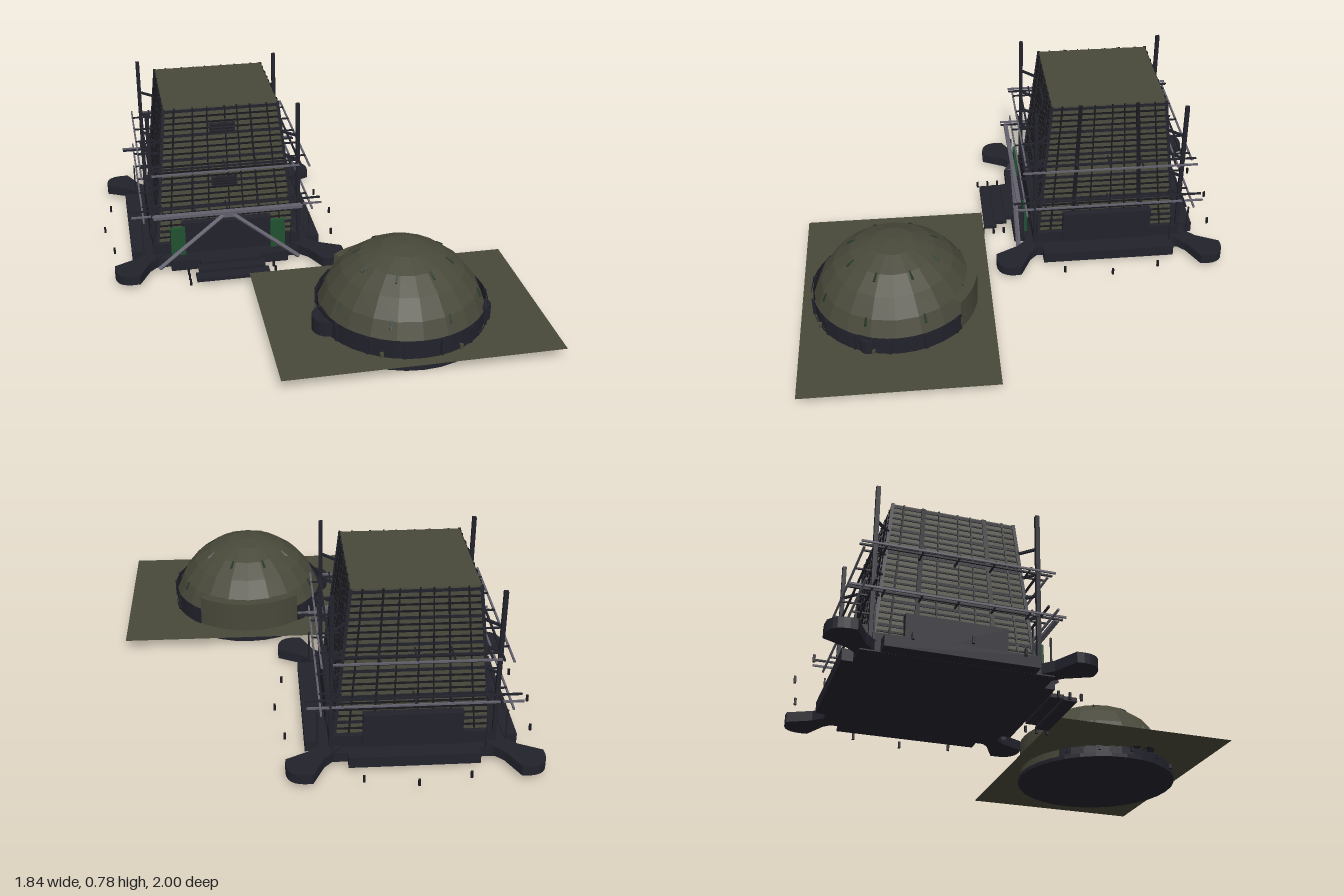
import * as THREE from 'three';

const mat = (name, color) => {
  const m = new THREE.MeshStandardMaterial({ color, side: THREE.DoubleSide, flatShading: true });
  m.name = name;
  return m;
};

export function createModel() {
  const olive = mat('olive', 0x48483a);
  const navy = mat('dark slate', 0x22222c);
  const black = mat('near black', 0x18181e);
  const green = mat('green', 0x1f5030);
  const grey = mat('grey metal', 0x62606c);
  const moss = mat('dark moss', 0x26382a);

  const root = new THREE.Group();
  root.name = 'campBuildings';

  const add = (parent, name, geo, m, x = 0, y = 0, z = 0) => {
    const mesh = new THREE.Mesh(geo, m);
    mesh.name = name;
    mesh.position.set(x, y, z);
    parent.add(mesh);
    return mesh;
  };
  const box = (p, name, m, w, h, d, x, y, z) => add(p, name, new THREE.BoxGeometry(w, h, d), m, x, y, z);
  // straight bar from a to b
  const bar = (p, name, m, a, b, w, d = w) => {
    const A = new THREE.Vector3(...a), B = new THREE.Vector3(...b);
    const mesh = add(p, name, new THREE.BoxGeometry(w, d, A.distanceTo(B)), m);
    mesh.position.copy(A).add(B).multiplyScalar(0.5);
    mesh.quaternion.setFromUnitVectors(new THREE.Vector3(0, 0, 1), B.sub(A).normalize());
    return mesh;
  };

  // ---- Tower ----
  const tower = new THREE.Group();
  tower.name = 'tower';
  tower.position.set(-0.35, 0, -0.43);
  root.add(tower);
  const y0 = 0.03, y1 = 0.765;
  const half = y => 0.335 - 0.073 * (y - y0) / (y1 - y0);
  const core = new THREE.CylinderGeometry(half(y1) * Math.SQRT2, half(y0) * Math.SQRT2, y1 - y0, 4);
  core.rotateY(Math.PI / 4);
  add(tower, 'towerWalls', core, olive, 0, (y0 + y1) / 2, 0);

  // horizontal siding lines wrap the whole tower
  for (let i = 0; i < 25; i++) {
    const y = 0.055 + i * 0.029, w = 2 * half(y) + 0.008;
    box(tower, 'sidingLine', i % 4 ? black : navy, w, i % 4 ? 0.008 : 0.013, w, 0, y, 0);
  }

  // platform under the tower
  box(tower, 'platform', navy, 0.78, 0.045, 0.78, 0, 0.042, 0);
  box(tower, 'platformStep', navy, 0.7, 0.06, 0.7, 0, 0.09, 0);

  // flared corner foot
  const foot = new THREE.Shape();
  foot.moveTo(0.45, -0.04);
  foot.lineTo(0.57, -0.04);
  foot.lineTo(0.68, -0.077);
  foot.quadraticCurveTo(0.78, 0, 0.68, 0.077);
  foot.lineTo(0.57, 0.04);
  foot.lineTo(0.45, 0.04);
  const footGeo = new THREE.ExtrudeGeometry(foot, { depth: 0.045, bevelEnabled: false, curveSegments: 8 });
  footGeo.rotateX(-Math.PI / 2);

  for (let k = 0; k < 4; k++) {
    const s = new THREE.Group();
    s.name = ['frontSide', 'leftSide', 'backSide', 'rightSide'][k];
    s.rotation.y = k * Math.PI / 2;
    tower.add(s);
    const isX = k % 2 === 1;

    // upright seams converge toward the roof
    for (const [u, w] of [[-0.5, 0.018], [0.5, 0.018], [-0.82, 0.007], [-0.25, 0.006], [0.06, 0.006], [0.27, 0.006], [0.8, 0.007]])
      bar(s, 'seam', black, [u * half(y0), y0, half(y0)], [u * half(y1), y1, half(y1)], isX ? w : Math.min(w, 0.008), 0.012);
    bar(s, 'cornerTrim', navy, [half(y0), y0, half(y0)], [half(y1), y1, half(y1)], 0.014);

    // lower wall block and platform edge
    box(s, 'lowerBlock', navy, 0.42, 0.19, 0.1, 0, 0.125, 0.305);
    box(s, 'platformEdge', navy, isX ? 0.62 : 0.55, 0.05, 0.06, 0, 0.045, isX ? 0.42 : 0.405);

    // corner pole, brackets and foot
    box(s, 'cornerPole', navy, 0.018, 0.75, 0.018, 0.342, 0.405, 0.342);
    for (const y of [0.3, 0.4, 0.5, 0.62])
      bar(s, 'poleBracket', navy, [half(y), y, half(y)], [0.342, y, 0.342], 0.01);
    add(s, 'cornerFoot', footGeo, navy, 0, 0.025, 0).rotation.y = Math.PI / 4;

    // walkway rails at two levels
    for (const [y, z, len] of [[0.3, 0.35, 0.445], [0.5, 0.345, isX ? 0.405 : 0.345]]) {
      for (const dz of [0, 0.04])
        bar(s, 'rail', dz ? grey : navy, [-len, y - dz * 0.2, z + dz], [len, y - dz * 0.2, z + dz], 0.008);
      for (const x of [-0.3, -0.15, 0, 0.15, 0.3])
        bar(s, 'railStay', navy, [x, y, half(y)], [x, y, z + 0.04], 0.007);
    }

    // thin posts on the platform and ground stakes
    for (const x of [-0.34, 0.3])
      box(s, 'thinPost', navy, 0.007, 0.15, 0.007, x, 0.14, 0.395);
    if (k) for (const [x, z] of [[-0.22, 0.53], [0, 0.567], [0.22, 0.53]])
      box(s, 'groundStake', black, 0.01, 0.03, 0.01, x, 0.037, z);
  }

  // front vents
  for (const [y, h] of [[0.66, 0.055], [0.405, 0.045]]) {
    const v = box(tower, 'vent', navy, 0.12, h, 0.009, 0, y, half(y) + 0.008);
    v.rotation.x = -0.1;
    for (let i = -1; i < 2; i++)
      box(v, 'ventSlat', black, 0.11, 0.006, 0.006, 0, i * h * 0.28, 0.006);
  }

  // entrance: green panels, crossing braces, beam and steps
  for (const sx of [-1, 1]) {
    box(tower, 'greenPanel', green, 0.068, 0.14, 0.018, sx * 0.235, 0.147, 0.382);
    bar(tower, 'entranceBrace', grey, [sx * 0.33, 0.03, 0.42], [sx * 0.02, 0.285, 0.42], 0.016);
    for (const z of [0.48, 0.53, 0.58])
      box(tower, 'stepStake', black, 0.01, 0.03, 0.01, sx * 0.2, 0.037, z);
  }
  bar(tower, 'entranceBraceCap', grey, [-0.025, 0.282, 0.42], [0.025, 0.282, 0.42], 0.016);
  bar(tower, 'entranceBeam', grey, [-0.35, 0.297, 0.42], [0.35, 0.297, 0.42], 0.02, 0.014);
  for (let i = 0; i < 3; i++)
    box(tower, 'step', navy, 0.28 + i * 0.03, 0.018, 0.06, 0, 0.064 - i * 0.013, 0.44 + i * 0.052);

  // ---- Domed shelter ----
  const dome = new THREE.Group();
  dome.name = 'domedShelter';
  dome.position.set(0.32, 0, 0.58);
  root.add(dome);
  const R = 0.377, cy = 0.008;
  add(dome, 'domeRoof', new THREE.SphereGeometry(R, 20, 5, 0, Math.PI * 2, 0, 1.3), olive, 0, cy, 0);
  add(dome, 'baseDisc', new THREE.CylinderGeometry(0.378, 0.378, 0.018, 32), navy, 0, 0.009, 0);
  const ground = new THREE.PlaneGeometry(1.2, 0.85);
  ground.rotateX(-Math.PI / 2);
  add(dome, 'groundSheet', ground, olive, 0, 0.055, -0.005);

  // dark wall ring, open at the back where an olive wall stands
  const gap = 0.7;
  const arc = (r, h, from, len, m, name, y) =>
    add(dome, name, new THREE.CylinderGeometry(r, r, h, 30, 1, true, from, len), m, 0, y, 0);
  arc(0.366, 0.12, Math.PI + gap, 2 * (Math.PI - gap), navy, 'wallRing', 0.075);
  for (const y of [0.06, 0.128])
    arc(0.373, 0.014, Math.PI + gap, 2 * (Math.PI - gap), navy, 'ringBand', y);
  add(dome, 'backWall', new THREE.CylinderGeometry(0.368, 0.368, 0.18, 12, 1, true, Math.PI - gap, 2 * gap), olive, 0, 0.11, 0);
  add(dome, 'backWallRoof', new THREE.RingGeometry(0.29, 0.368, 12, 1, Math.PI / 2 - gap, 2 * gap).rotateX(-Math.PI / 2), olive, 0, 0.2, 0);

  // ring brackets
  for (let i = 0; i < 12; i++) {
    const a = Math.PI + gap + 0.1 + i * (2 * (Math.PI - gap) - 0.2) / 11;
    const b = box(dome, 'ringBracket', navy, 0.012, 0.1, 0.012, Math.sin(a) * 0.371, 0.085, Math.cos(a) * 0.371);
    b.rotation.y = a;
  }

  // rounded side bumps and small lamps
  add(dome, 'sideBump', new THREE.CylinderGeometry(0.07, 0.07, 0.07, 16), navy, -0.34, 0.09, 0.08);
  add(dome, 'sideBump', new THREE.CylinderGeometry(0.04, 0.04, 0.07, 16), navy, 0.325, 0.09, 0.12);
  for (const a of [-0.47, 0.47, -1.3, 1.3])
    box(dome, 'lamp', olive, 0.014, 0.022, 0.014, Math.sin(a) * 0.374, 0.065, Math.cos(a) * 0.374);

  // dark slits along eight meridians
  for (let i = 0; i < 8; i++) {
    const a = (i + 0.5) * Math.PI / 4;
    for (const t of [0.56, 1.08]) {
      const p = d => {
        const r = R * 0.99;
        return [Math.sin(t + d) * r * Math.sin(a), cy + Math.cos(t + d) * r, Math.sin(t + d) * r * Math.cos(a)];
      };
      bar(dome, 'domeSlit', moss, p(-0.055), p(0.055), 0.009);
    }
  }
  return root;
}
